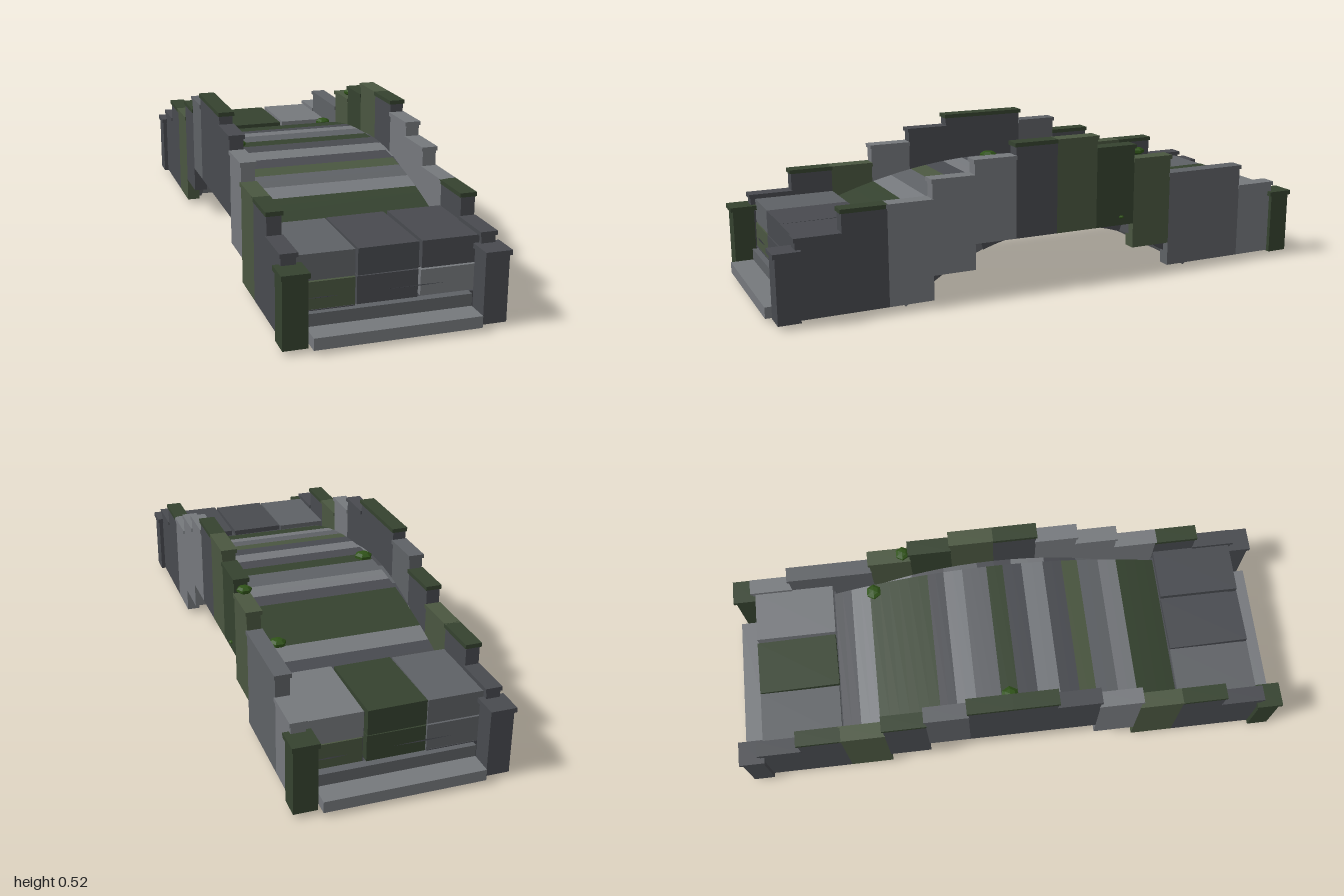
import * as THREE from 'three';

const tones = {
  light: 0x75787c, mid: 0x5e6165, dark: 0x484a4f, green: 0x4a5640, moss: 0x35422f, leaf: 0x2f5218, crack: 0x303236,
};
const mats = {};
for (const k in tones) {
  mats[k] = new THREE.MeshStandardMaterial({ color: tones[k], flatShading: true });
}
const L = 'light', M = 'mid', D = 'dark', G = 'green', V = 'moss';

// Underside of the arch and walking surface, as heights along the span
const ARCH_R = 0.82, ARCH_TOP = 0.215, SPRING = 0.545;
const archY = (z) => ARCH_TOP - ARCH_R + Math.sqrt(ARCH_R * ARCH_R - z * z);
const deckY = (z) => 0.365 - (z * z) / 3.5;

export function createModel() {
  const root = new THREE.Group();
  root.name = 'stoneBridge';

  const add = (parent, name, geo, tone) => {
    const m = new THREE.Mesh(geo, mats[tone]);
    m.name = name;
    parent.add(m);
    return m;
  };
  const group = (name) => {
    const g = new THREE.Group();
    g.name = name;
    root.add(g);
    return g;
  };
  // Box given by its limits on each axis
  const box = (parent, name, x0, x1, y0, y1, z0, z1, tone) => {
    const m = add(parent, name, new THREE.BoxGeometry(Math.abs(x1 - x0), y1 - y0, Math.abs(z1 - z0)), tone);
    m.position.set((x0 + x1) / 2, (y0 + y1) / 2, (z0 + z1) / 2);
    return m;
  };
  // Prism across the bridge from a side outline of [z, y] points
  const prism = (parent, name, pts, x0, x1, tone) => {
    const shape = new THREE.Shape(pts.map(([z, y]) => new THREE.Vector2(z, y)));
    const geo = new THREE.ExtrudeGeometry(shape, { depth: x1 - x0, bevelEnabled: false });
    geo.rotateY(-Math.PI / 2).translate(x1, 0, 0);
    return add(parent, name, geo, tone);
  };

  // Deck: full-depth stones between the arch and the walking surface
  const deck = group('deck');
  const cuts = [-0.61, -0.54, -0.47, -0.25, -0.19, -0.12, -0.03, 0.03, 0.1, 0.18, 0.25, 0.31, 0.39, 0.46, 0.61];
  const deckTones = [D, L, V, D, L, M, V, D, L, D, G, M, L, V];
  const underY = (z) => (Math.abs(z) > SPRING ? 0.014 : archY(z) + 0.006);
  deckTones.forEach((tone, i) => {
    const a = cuts[i], b = cuts[i + 1];
    const zs = [];
    const n = Math.max(2, Math.round((b - a) / 0.035));
    for (let k = 0; k <= n; k++) zs.push(a + ((b - a) * k) / n);
    const pts = zs.map((z) => [z, underY(z)]);
    [...zs].reverse().forEach((z) => pts.push([z, deckY(z)]));
    prism(deck, 'deckStone', pts, -0.265, 0.265, tone);
  });

  // Arch rings of radial stones beside the deck, under each wall
  const rings = group('archRings');
  const span = Math.asin(SPRING / ARCH_R), stones = 11;
  const polar = (r, a) => [r * Math.sin(a), ARCH_TOP - ARCH_R + r * Math.cos(a)];
  for (const s of [-1, 1]) {
    for (let i = 0; i < stones; i++) {
      const a = -span + (2 * span * i) / stones, b = a + (2 * span) / stones;
      const c = (a + b) / 2, r = ARCH_R - 0.002 * (i % 2), R = ARCH_R + 0.137;
      const pts = [polar(r, a), polar(r, c), polar(r, b), polar(R, b), polar(R, c), polar(R, a)];
      prism(rings, 'archStone', pts, s > 0 ? 0.265 : -0.31, s > 0 ? 0.31 : -0.265, [M, D, L, D][i % 4]);
    }
  }

  // Stepped parapets: [inner z, outer z, bottom, top] for half the span
  const parapets = group('parapets');
  const steps = [
    [0, 0.155, 0.2, 0.53], [0.155, 0.305, 0.2, 0.487], [0.305, 0.455, 0.11, 0.436],
    [0.455, 0.61, 0.025, 0.37], [0.61, 0.762, 0.025, 0.37], [0.762, 0.912, 0.025, 0.294],
  ];
  const wallTones = { // tones per side, from the middle outward
    '1,1': [D, L, L, L, D, D], '1,-1': [G, V, G, M, M, L],
    '-1,1': [D, D, L, G, D, D], '-1,-1': [D, M, D, G, D, D],
  };
  for (const sx of [-1, 1]) for (const sz of [-1, 1]) {
    steps.forEach(([z0, z1, y0, y1], i) => {
      const tone = wallTones[sx + ',' + sz][i];
      box(parapets, 'wallBlock', sx * 0.291, sx * 0.338, y0, y1 - 0.014, sz * z0, sz * z1, tone);
      const capTone = tone === D && i % 2 === 0 ? V : tone;
      box(parapets, 'wallCap', sx * 0.286, sx * 0.342, y1 - 0.014, y1,
        sz * (i ? z0 - 0.002 : 0), sz * (z1 + 0.005), capTone);
    });
    // End posts
    const postTone = sx * sz > 0 ? D : V;
    box(parapets, 'endPost', sx * 0.275, sx * 0.353, 0.022, 0.24, sz * 0.905, sz * 0.98, postTone);
    box(parapets, 'endPostCap', sx * 0.271, sx * 0.358, 0.24, 0.256, sz * 0.896, sz * 0.988, postTone);
  }

  // Abutments: three columns of rough blocks in three courses, with two steps outside
  const cols = [[-0.29, -0.105], [-0.1, 0.094], [0.105, 0.29]];
  const abutTones = {
    1: [[D, D, D], [G, D, L], [M, D, D]],
    '-1': [[D, D, D], [M, V, G], [M, V, L]],
  };
  const courses = [[0.024, 0.103], [0.103, 0.192], [0.194, 0.281]];
  for (const s of [-1, 1]) {
    const ab = group(s > 0 ? 'frontAbutment' : 'backAbutment');
    courses.forEach(([y0, y1], r) => cols.forEach(([x0, x1], c) => {
      const j = ((r * 5 + c * 3) % 4) * 0.002;
      const m = box(ab, 'abutmentBlock', x0, x1, y0, y1 - j, s * 0.61, s * (0.9 - j), abutTones[s][r][c]);
      m.rotation.y = r === 2 && c === 1 ? 0.015 : 0;
    }));
    box(ab, 'abutmentCore', -0.275, 0.275, 0.03, 0.26, s * 0.6, s * 0.87, D);
    box(ab, 'upperStep', -0.265, 0.265, 0.06, 0.1, s * 0.89, s * 0.92, M);
    box(ab, 'lowerStep', -0.265, 0.265, 0.022, 0.06, s * 0.89, s * 1.0, L);
    // Thin cracks on the middle course
    for (const [x, w] of [[-0.21, 0.06], [0.09, 0.1]]) {
      const crack = add(ab, 'crack', new THREE.OctahedronGeometry(1), 'crack');
      crack.scale.set(w, 0.002, 0.004);
      crack.position.set(s * x, 0.14, s * 0.9);
    }
  }

  // Moss cushions: [x, y, z, radius]
  const moss = group('mossCushions');
  for (const [x, y, z, r] of [
    [-0.24, 0.369, 0, 0.034], [0.235, 0.31, -0.455, 0.03], [0.31, 0.457, -0.33, 0.027], [0.339, 0.23, -0.255, 0.01],
  ]) {
    const m = add(moss, 'mossCushion', new THREE.SphereGeometry(r, 6, 5), 'leaf');
    m.scale.y = 0.5;
    m.position.set(x, y, z);
  }
  return root;
}
